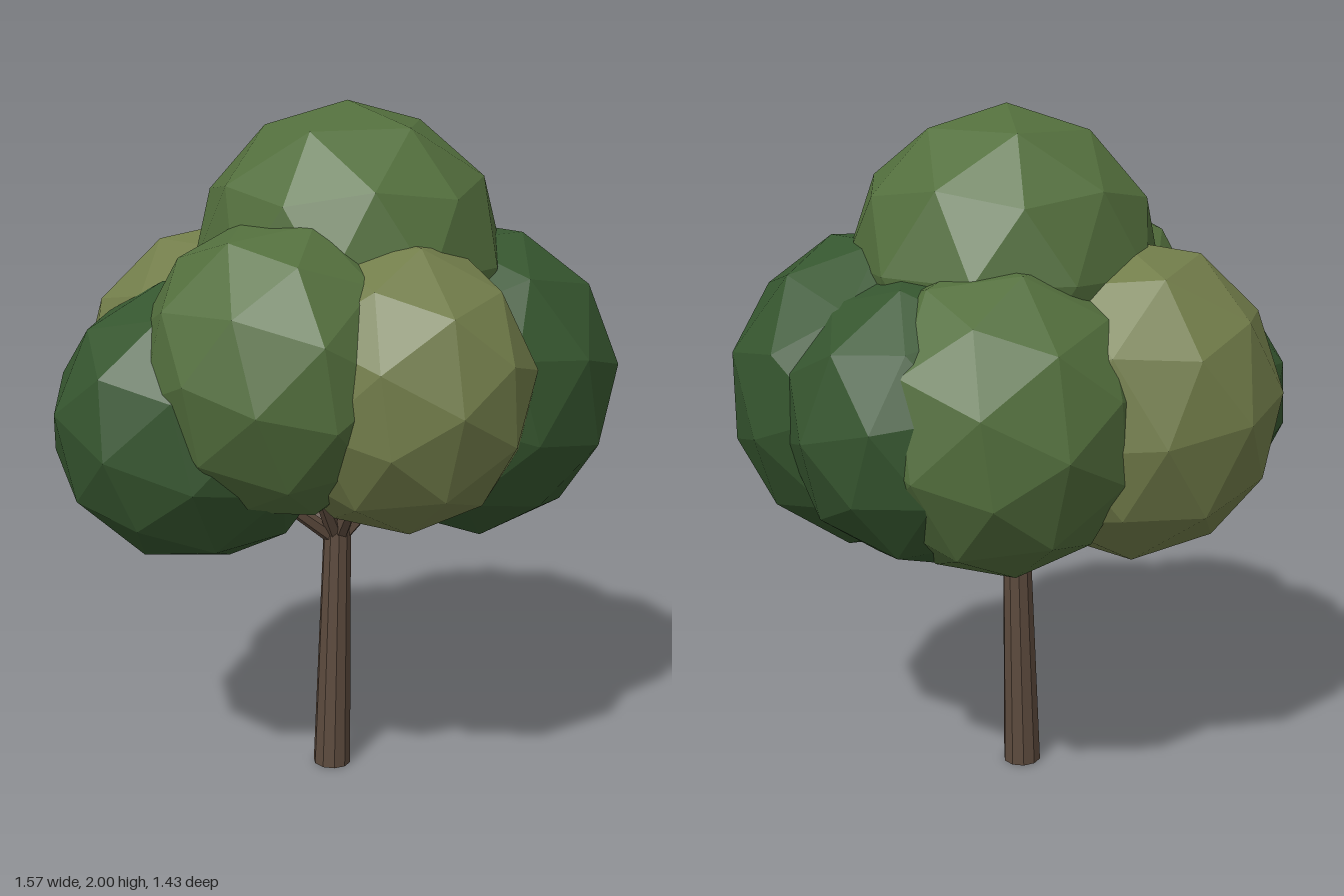
import * as THREE from 'three';

const DARK = 0x36562f, GREEN = 0x536f3d, OLIVE = 0x727d4a, BARK = 0x5c4a3d;

// name, colour, centre, radii, rotation of each faceted foliage clump
const CLUMPS = [
  ['crownTop', GREEN, [0.045, 1.56, 0.035], [0.445, 0.44, 0.445], [-1.017, 0, 0.05]],
  ['frontClump', OLIVE, [-0.07, 1.26, 0.33], [0.37, 0.41, 0.4], [0.3, 0.2, 0.1]],
  ['frontLeftClump', DARK, [0.33, 1.2, 0.25], [0.44, 0.46, 0.42], [0.5, 0.9, 0.3]],
  ['leftClump', DARK, [0.39, 1.18, -0.04], [0.395, 0.41, 0.38], [0.2, 1.5, 0.6]],
  ['backLeftClump', GREEN, [0.27, 1.19, -0.2], [0.41, 0.44, 0.4], [0.8, 0.4, 0.2]],
  ['backClump', OLIVE, [-0.14, 1.19, -0.29], [0.43, 0.46, 0.43], [0.1, 0.7, 0.4]],
  ['rightUpperClump', GREEN, [-0.31, 1.31, 0.13], [0.385, 0.41, 0.39], [0.6, 0.1, 0.9]],
  ['rightLowerClump', DARK, [-0.39, 1.13, -0.13], [0.41, 0.4, 0.41], [0.4, 1.2, 0.5]],
];

const material = (color) => new THREE.MeshStandardMaterial({ color, flatShading: true });

// Tapered limb between two points
function limb(name, from, to, r0, r1, sides, mat) {
  const dir = to.clone().sub(from);
  const mesh = new THREE.Mesh(new THREE.CylinderGeometry(r1, r0, dir.length(), sides), mat);
  mesh.name = name;
  mesh.position.copy(from).addScaledVector(dir, 0.5);
  mesh.quaternion.setFromUnitVectors(new THREE.Vector3(0, 1, 0), dir.normalize());
  return mesh;
}

export function createModel() {
  const tree = new THREE.Group();
  tree.name = 'tree';
  const bark = material(BARK);

  // Trunk, leaning slightly
  const fork = new THREE.Vector3(0.017, 0.76, 0.015);
  tree.add(limb('trunk', new THREE.Vector3(0, 0, 0.01), fork, 0.057, 0.041, 10, bark));

  const branches = new THREE.Group();
  branches.name = 'branches';
  const foliage = new THREE.Group();
  foliage.name = 'foliage';
  tree.add(branches, foliage);

  // One clump and the branch that carries it
  const start = fork.clone().setY(0.72);
  for (const [name, color, centre, radii, rotation] of CLUMPS) {
    const geometry = new THREE.IcosahedronGeometry(1, 1);
    geometry.applyMatrix4(new THREE.Matrix4().makeRotationFromEuler(new THREE.Euler(...rotation)));
    geometry.scale(...radii);
    const clump = new THREE.Mesh(geometry, material(color));
    clump.name = name;
    clump.position.set(...centre);
    foliage.add(clump);

    const end = new THREE.Vector3(centre[0] * 0.9, centre[1] - 0.1, centre[2] * 0.9);
    branches.add(limb(name + 'Branch', start, end, 0.026, 0.01, 6, bark));
  }
  return tree;
}
